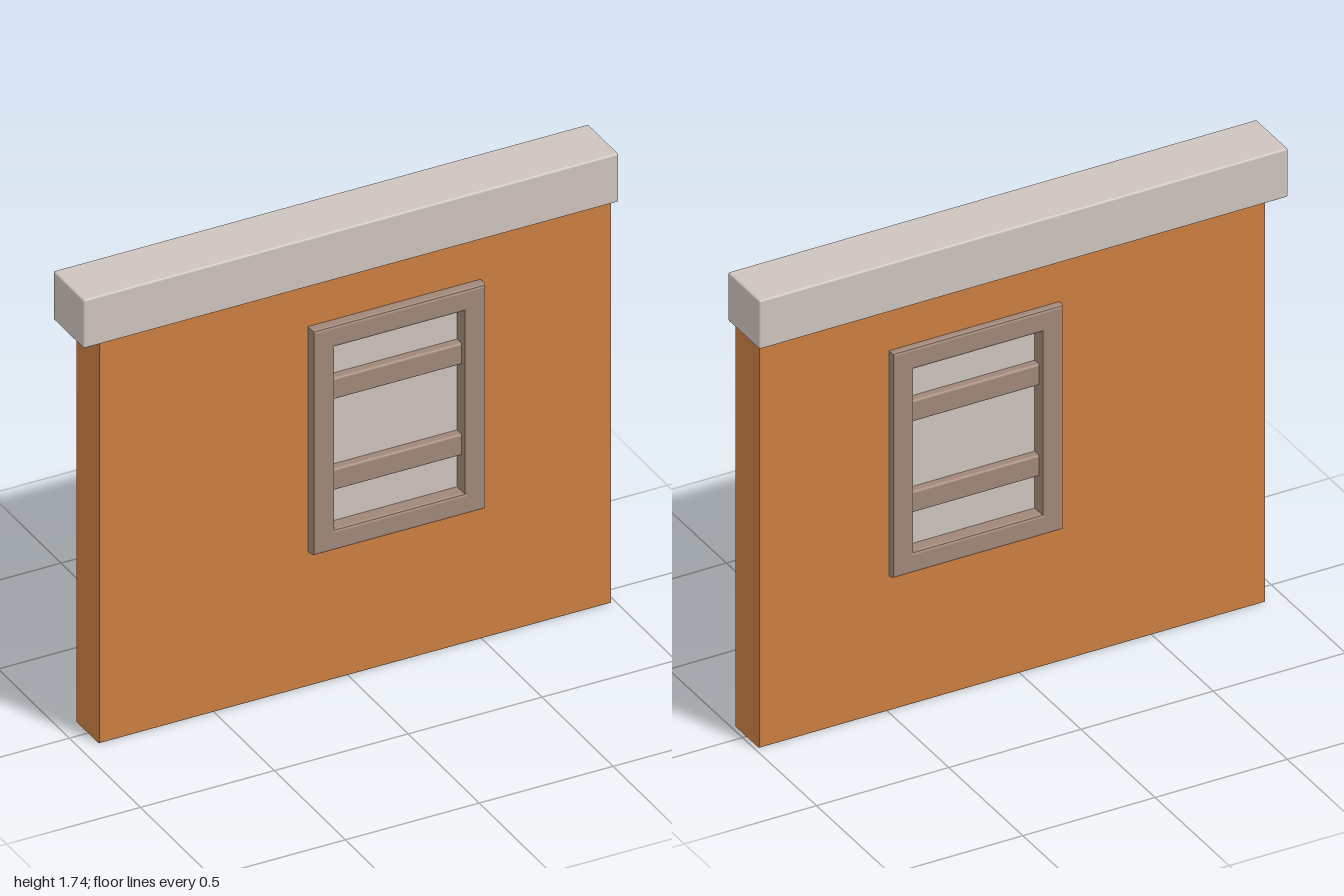
import * as THREE from 'three';
import { RoundedBoxGeometry } from 'three/addons/geometries/RoundedBoxGeometry.js';

const material = (name, color) => {
  const m = new THREE.MeshStandardMaterial({ color });
  m.name = name;
  return m;
};

// Closed rectangular outline
function rectangle(Type, x0, x1, y0, y1) {
  return new Type([[x0, y0], [x1, y0], [x1, y1], [x0, y1]].map(([x, y]) => new THREE.Vector2(x, y)));
}

// Bevelled slab with a rectangular opening, spanning z0 to z1
function slabWithOpening(outer, opening, z0, z1, bevel) {
  const shape = rectangle(THREE.Shape, ...outer);
  shape.holes.push(rectangle(THREE.Path, ...opening));
  const geometry = new THREE.ExtrudeGeometry(shape, {
    depth: z1 - z0 - 2 * bevel,
    bevelThickness: bevel,
    bevelSize: bevel,
    bevelOffset: -bevel,
    bevelSegments: 2,
  });
  return geometry.translate(0, 0, z0 + bevel);
}

// Softly rounded block given by its extents
function block(x0, x1, y0, y1, z0, z1, radius) {
  return new RoundedBoxGeometry(x1 - x0, y1 - y0, z1 - z0, 2, radius)
    .translate((x0 + x1) / 2, (y0 + y1) / 2, (z0 + z1) / 2);
}

export function createModel() {
  const group = new THREE.Group();
  const plaster = material('orange plaster', 0xcb7e40);
  const stone = material('pale stone', 0xcdc3be);
  const wood = material('brown wood', 0xa08779);

  const add = (name, geometry, mat) => {
    const mesh = new THREE.Mesh(geometry, mat);
    mesh.name = name;
    group.add(mesh);
  };

  // Wall, cut out behind the window frame, and the beam along its top
  add('wall', slabWithOpening([-0.93, 0.985, 0, 1.56], [-0.11, 0.455, 0.56, 1.345], -0.088, 0.078, 0.006), plaster);
  add('topBeam', block(-1, 1, 1.553, 1.74, -0.115, 0.1, 0.007), stone);

  // Window frame passing through the wall, with its pane
  add('windowFrame', slabWithOpening([-0.15, 0.495, 0.522, 1.387], [-0.07, 0.415, 0.602, 1.305], -0.115, 0.117, 0.01), wood);
  add('windowPane', new THREE.BoxGeometry(0.52, 0.74, 0.125).translate(0.1725, 0.9535, 0), stone);

  // Two crossbars showing on both faces
  for (const y of [0.78, 1.13]) {
    add('crossbar', block(-0.08, 0.425, y - 0.041, y + 0.041, -0.093, 0.095, 0.008), wood);
  }
  return group;
}
